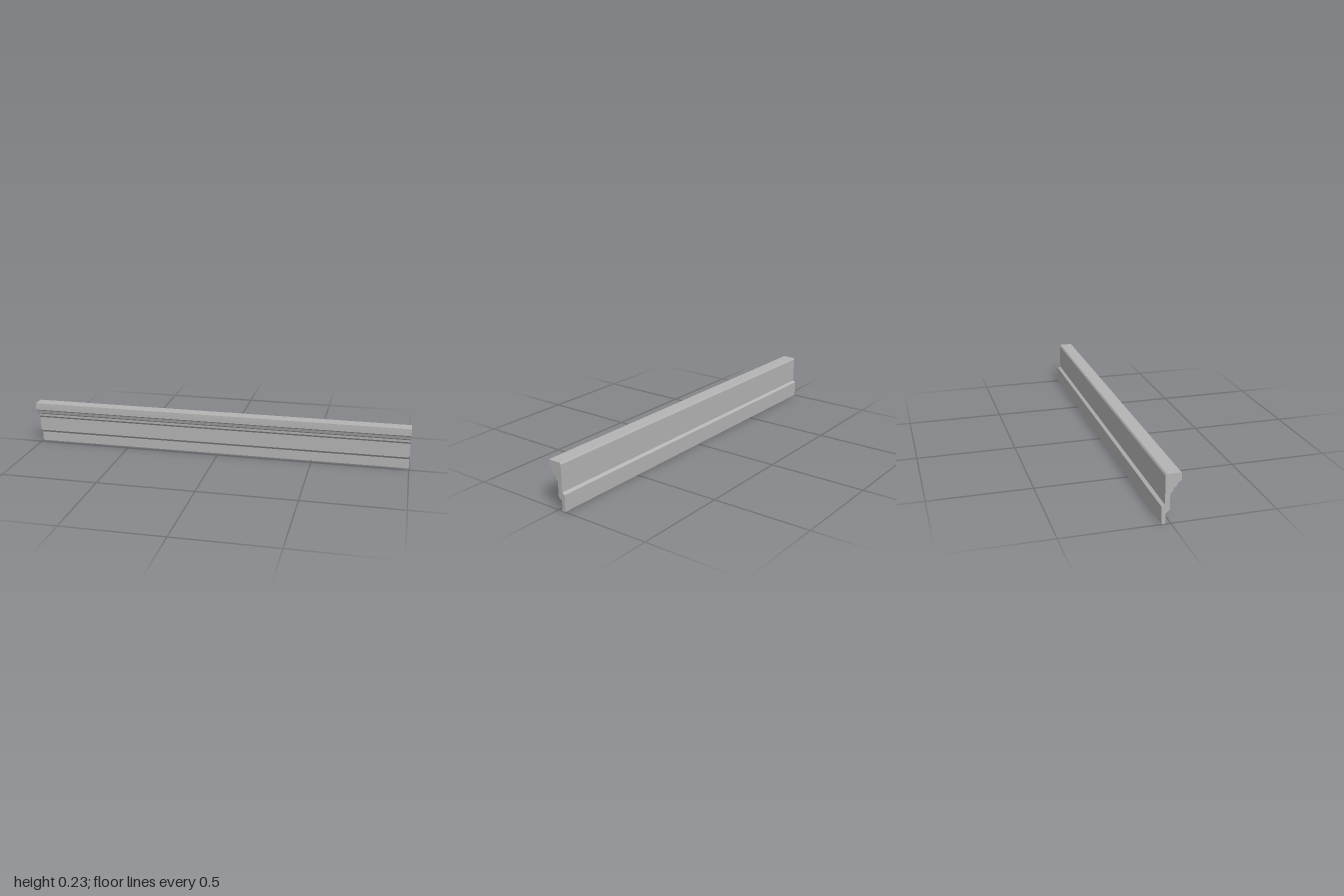
import * as THREE from 'three';

// Moulding cross-section as [z, y], running from the top front edge round the back
const PROFILE = [
  [0.0430, 0.235], [-0.0230, 0.235], [-0.0285, 0.2265], // top with chamfered back edge
  [-0.0285, 0.0930], [-0.0430, 0.0840], [-0.0430, 0.0025], // back and lower lip
  [-0.0250, 0.0], [-0.0250, 0.0500], [-0.0055, 0.0660], // foot and lower slope
  [-0.0055, 0.1410], [0.0085, 0.1535], [0.0090, 0.1650], // flat face and first step
  [0.0225, 0.1740], [0.0275, 0.1890], // stepped cove
  [0.0445, 0.1990], [0.0440, 0.2180], // crown
];

export function createModel() {
  const group = new THREE.Group();
  group.name = 'moulding';

  const grey = new THREE.MeshStandardMaterial({ color: 0xb4b4b4 });
  grey.name = 'grey';

  // Straight length of trim, extruded along x
  const shape = new THREE.Shape(PROFILE.map(([z, y]) => new THREE.Vector2(-z, y)));
  const geometry = new THREE.ExtrudeGeometry(shape, { depth: 2, bevelEnabled: false });
  geometry.translate(0, 0, -1);
  geometry.rotateY(Math.PI / 2);

  const trim = new THREE.Mesh(geometry, grey);
  trim.name = 'trimProfile';
  group.add(trim);
  return group;
}
